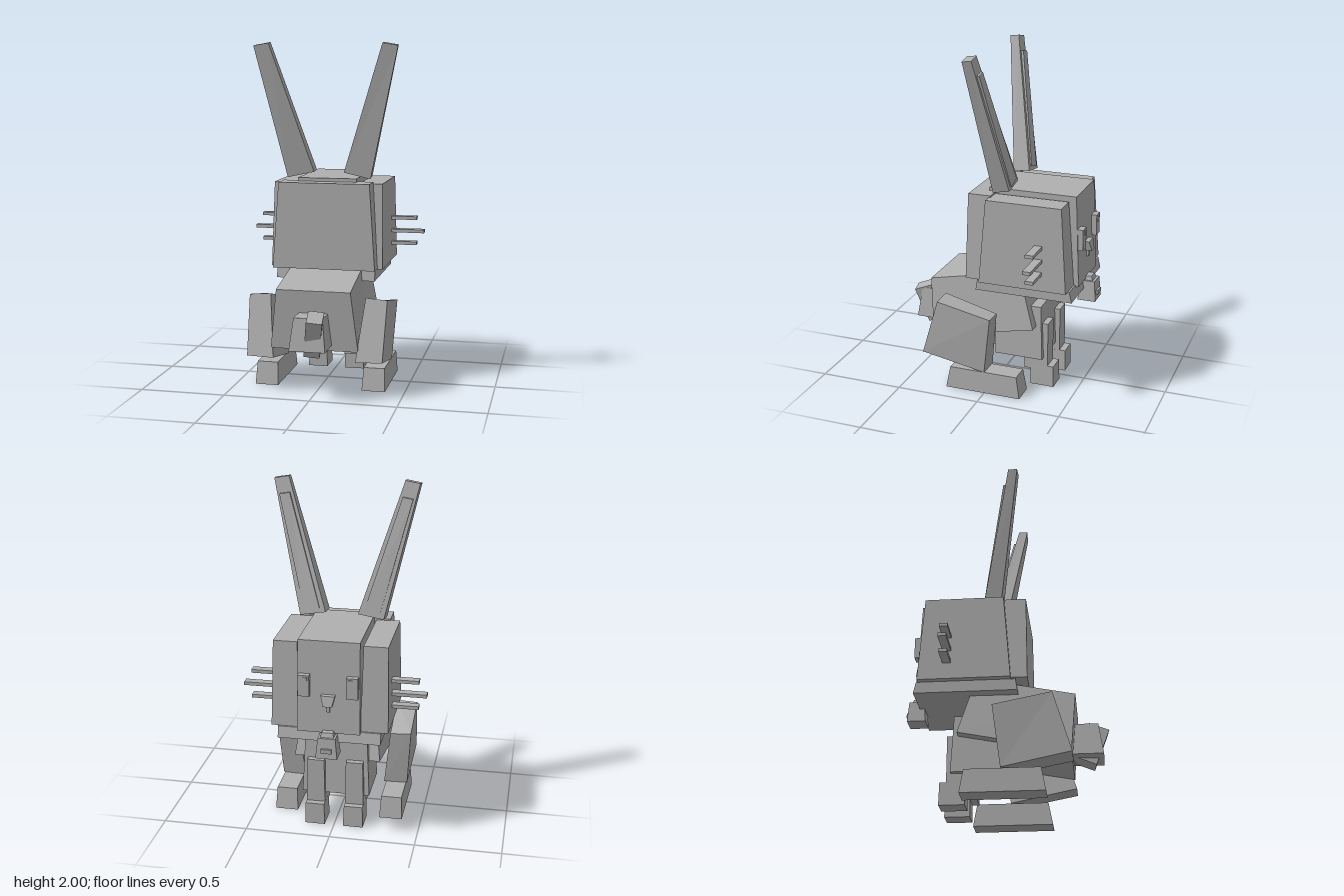
import * as THREE from 'three';

export function createModel() {
  const model = new THREE.Group();
  model.name = 'blockRabbit';
  const grey = new THREE.MeshStandardMaterial({ color: 0xb0b0b0 });
  grey.name = 'plainGrey';

  // Six-sided block from 8 corners: lower ring then upper ring,
  // each ordered (x0,z0) (x1,z0) (x1,z1) (x0,z1).
  const SIDES = [[4, 7, 6, 5], [0, 1, 2, 3], [3, 2, 6, 7], [1, 0, 4, 5], [2, 1, 5, 6], [0, 3, 7, 4]];
  function hex(name, corners) {
    const pos = [];
    for (const [a, b, c, d] of SIDES) {
      for (const i of [a, b, c, a, c, d]) pos.push(...corners[i]);
    }
    const geo = new THREE.BufferGeometry();
    geo.setAttribute('position', new THREE.Float32BufferAttribute(pos, 3));
    geo.computeVertexNormals();
    const mesh = new THREE.Mesh(geo, grey);
    mesh.name = name;
    model.add(mesh);
    return mesh;
  }

  // Ring of four corners at one height
  const ring = (y, [x0, x1, z0, z1]) => [[x0, y, z0], [x1, y, z0], [x1, y, z1], [x0, y, z1]];
  const taper = (y0, low, y1, high = low) => [...ring(y0, low), ...ring(y1, high)];

  // The same block on both sides of the body
  function pair(name, c) {
    hex(name + 'Left', c);
    const m = [1, 0, 3, 2, 5, 4, 7, 6].map(i => [-c[i][0], c[i][1], c[i][2]]);
    hex(name + 'Right', m);
  }

  // Head
  hex('headCentre', taper(0.67, [-0.18, 0.18, -0.505, 0.05], 1.21, [-0.175, 0.175, -0.48, 0.04]));
  pair('cheek', taper(0.68, [0.177, 0.335, -0.475, 0.05], 1.18, [0.187, 0.325, -0.44, 0.01]));
  hex('headBack', taper(0.685, [-0.305, 0.305, 0, 0.142], 1.19, [-0.27, 0.27, 0, 0.135]));
  hex('jaw', taper(0.615, [-0.295, 0.295, -0.5, 0.085], 0.68, [-0.295, 0.295, -0.485, 0.075]));

  // Ears lean outwards and backwards, with a raised inner panel
  pair('ear', [
    [0.095, 1.245, -0.105], [0.245, 1.22, -0.105], [0.25, 1.205, -0.008], [0.09, 1.24, -0.01],
    [0.335, 2.0, 0.05], [0.42, 1.985, 0.047], [0.425, 1.98, 0.1], [0.335, 1.995, 0.102],
  ]);
  pair('innerEar', [
    [0.13, 1.265, -0.108], [0.22, 1.24, -0.108], [0.22, 1.24, -0.07], [0.13, 1.265, -0.07],
    [0.325, 1.91, 0.017], [0.385, 1.9, 0.015], [0.385, 1.9, 0.06], [0.325, 1.91, 0.06],
  ]);

  // Face
  pair('eye', taper(0.89, [0.105, 0.17, -0.522, -0.48], 1.015));
  pair('eyeGlint', taper(0.975, [0.115, 0.14, -0.528, -0.5], 1.005));
  hex('nose', taper(0.84, [-0.025, 0.025, -0.535, -0.48], 0.9, [-0.04, 0.04, -0.522, -0.48]));
  hex('noseStem', taper(0.8, [-0.01, 0.01, -0.512, -0.48], 0.84));
  hex('muzzle', taper(0.54, [-0.062, 0.062, -0.572, -0.465], 0.66, [-0.05, 0.05, -0.563, -0.475]));
  hex('lip', taper(0.655, [-0.04, 0.04, -0.55, -0.49], 0.685, [-0.032, 0.032, -0.538, -0.49]));
  hex('mouthPlate', taper(0.575, [-0.03, 0.03, -0.58, -0.55], 0.6));

  // Whiskers
  [[0.94, 0.485], [0.86, 0.53], [0.785, 0.485]].forEach(([y, tip], i) => {
    pair('whisker' + (i + 1), taper(y - 0.01, [0.3, tip, -0.333, -0.285], y + 0.01));
  });

  // Body, tilted up towards the head
  hex('body', [
    [-0.255, 0.39, -0.255], [0.255, 0.39, -0.255], [0.255, 0.262, 0.375], [-0.255, 0.262, 0.375],
    [-0.212, 0.725, -0.155], [0.212, 0.725, -0.155], [0.215, 0.61, 0.403], [-0.215, 0.61, 0.403],
  ]);
  hex('chest', taper(0.18, [-0.2, 0.2, -0.295, 0], 0.51, [-0.185, 0.185, -0.28, 0]));

  // Front legs and paws
  pair('frontLeg', taper(0.1, [0.06, 0.17, -0.32, -0.175], 0.4, [0.065, 0.165, -0.32, -0.175]));
  pair('frontPaw', taper(0, [0.055, 0.173, -0.36, -0.215], 0.13, [0.06, 0.17, -0.357, -0.215]));

  // Haunches and hind feet
  pair('haunch', [
    [0.245, 0.13, 0], [0.387, 0.135, 0], [0.395, 0.21, 0.385], [0.24, 0.205, 0.385],
    [0.285, 0.475, -0.042], [0.41, 0.485, -0.045], [0.405, 0.55, 0.283], [0.28, 0.558, 0.28],
  ]);
  pair('hindFoot', taper(0, [0.25, 0.387, -0.22, 0.242], 0.132, [0.258, 0.38, -0.198, 0.217]));

  // Tail with a tilted tuft
  hex('tail', taper(0.295, [-0.105, 0.103, 0.34, 0.55], 0.48, [-0.083, 0.083, 0.34, 0.523]));
  const tuft = new THREE.Mesh(new THREE.BoxGeometry(0.09, 0.23, 0.12), grey);
  tuft.name = 'tailTuft';
  tuft.position.set(0.025, 0.38, 0.483);
  tuft.rotation.set(0.36, 0.1, -0.14);
  model.add(tuft);

  return model;
}
